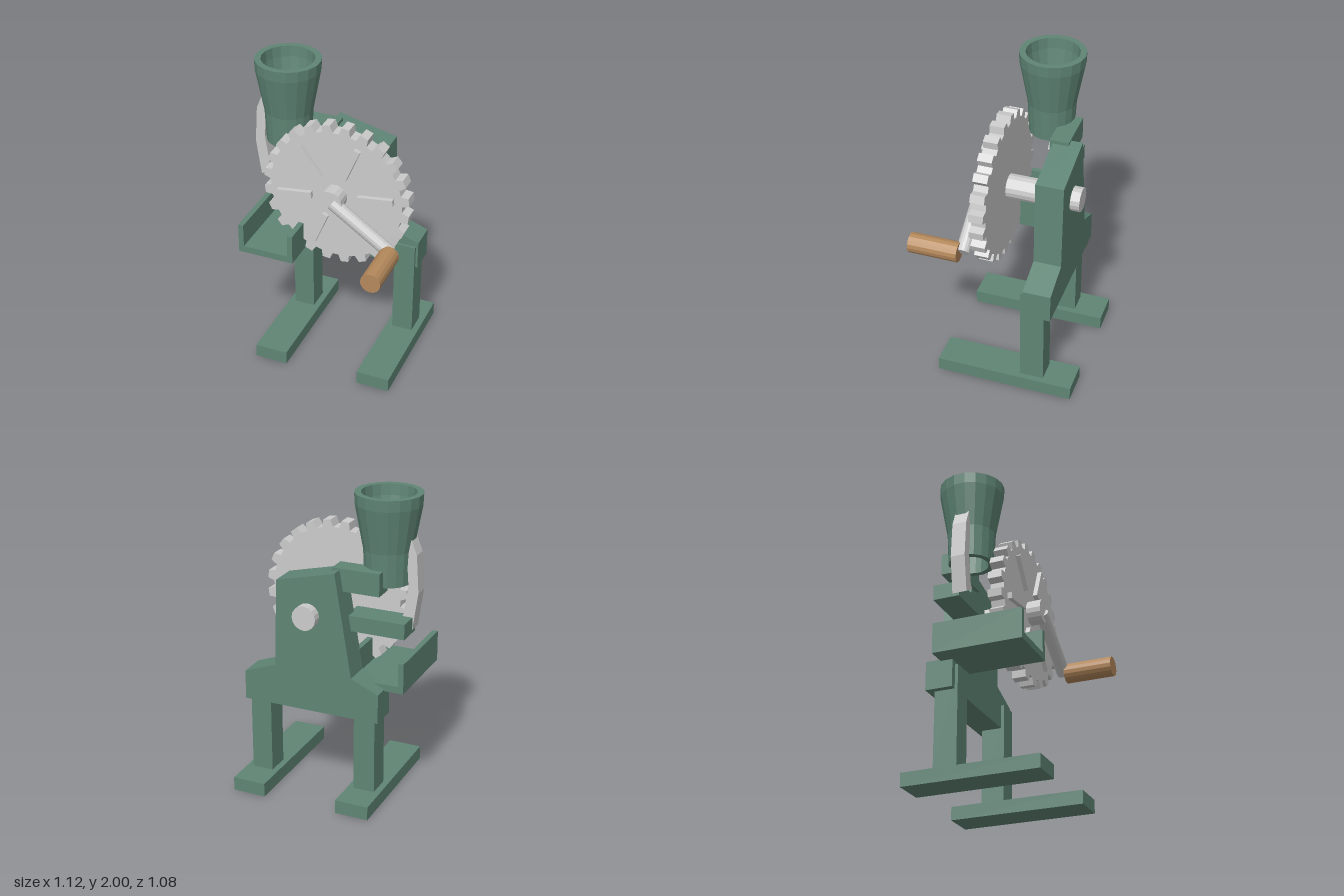
import * as THREE from 'three';

const paint = (color) => new THREE.MeshStandardMaterial({ color, flatShading: true });

export function createModel() {
  const model = new THREE.Group();
  const green = paint(0x5f8575), metal = paint(0xcccccc), wood = paint(0xb5895c);

  const add = (name, geometry, material, parent = model) => {
    const mesh = new THREE.Mesh(geometry, material);
    mesh.name = name;
    parent.add(mesh);
    return mesh;
  };
  // Box given by its limits on each axis
  const box = (name, [x0, x1], [y0, y1], [z0, z1], material, parent) => {
    const mesh = add(name, new THREE.BoxGeometry(x1 - x0, y1 - y0, z1 - z0), material, parent);
    mesh.position.set((x0 + x1) / 2, (y0 + y1) / 2, (z0 + z1) / 2);
    return mesh;
  };
  // Outline in x and y, extruded from z0 to z1
  const slab = (name, points, z0, z1, material, parent) => {
    const shape = new THREE.Shape(points.map(([x, y]) => new THREE.Vector2(x, y)));
    const geometry = new THREE.ExtrudeGeometry(shape, { depth: z1 - z0, bevelEnabled: false });
    geometry.translate(0, 0, z0);
    return add(name, geometry, material, parent);
  };
  // Round bar between two points
  const rod = (name, from, to, radius, material, sides = 16) => {
    const a = new THREE.Vector3(...from), b = new THREE.Vector3(...to);
    const mesh = add(name, new THREE.CylinderGeometry(radius, radius, a.distanceTo(b), sides), material);
    mesh.position.copy(a).lerp(b, 0.5);
    mesh.quaternion.setFromUnitVectors(new THREE.Vector3(0, 1, 0), b.sub(a).normalize());
    return mesh;
  };

  // Feet and legs
  for (const x of [-0.29, 0.43]) {
    box('foot', [x - 0.11, x + 0.11], [0, 0.09], [-0.54, 0.36], green);
    box('leg', [x - 0.07, x + 0.07], [0.09, 0.76], [-0.345, -0.19], green);
  }

  // Upright frame plate with sloping shoulders
  slab('framePlate', [
    [-0.4, 0.6], [0.515, 0.6], [0.515, 0.79], [0.3, 0.87],
    [0.28, 1.44], [-0.11, 1.535], [-0.22, 0.87], [-0.4, 0.79],
  ], -0.39, -0.21, green);

  // Brackets for the hopper and the spout
  box('upperBracket', [-0.37, -0.06], [1.4, 1.545], [-0.315, -0.19], green);
  box('lowerBracket', [-0.525, -0.14], [1.14, 1.24], [-0.29, -0.115], green);

  // Open-ended trough
  slab('trough', [
    [-0.525, 0.78], [-0.15, 0.78], [-0.15, 0.98], [-0.185, 0.98],
    [-0.185, 0.825], [-0.49, 0.825], [-0.49, 0.98], [-0.525, 0.98],
  ], -0.29, 0.3, green);

  // Hollow funnel, open at both ends
  const funnel = [
    [0.11, 1.44], [0.145, 1.44], [0.155, 1.65], [0.207, 1.93], [0.21, 2],
    [0.17, 2], [0.165, 1.93], [0.115, 1.65], [0.11, 1.44],
  ].map(([r, y]) => new THREE.Vector2(r, y));
  const hopper = add('hopper', new THREE.LatheGeometry(funnel, 18), green);
  hopper.material = green.clone();
  hopper.material.side = THREE.DoubleSide;
  hopper.position.set(-0.345, 0, -0.117);

  // Curved side spout
  slab('spout', [
    [-0.525, 1.16], [-0.44, 1.21], [-0.465, 1.25], [-0.495, 1.44],
    [-0.48, 1.64], [-0.47, 1.74], [-0.505, 1.74], [-0.545, 1.64], [-0.56, 1.4],
  ], -0.16, -0.065, metal);

  // Gear wheel with raised ribs
  const wheel = new THREE.Group();
  wheel.name = 'gearWheel';
  wheel.position.set(0.07, 1.24, 0);
  wheel.rotation.z = THREE.MathUtils.degToRad(7.5);
  model.add(wheel);
  const teeth = 24, pitch = (Math.PI * 2) / teeth, outline = [];
  for (let i = 0; i < teeth; i++) {
    for (const [offset, r] of [[-0.32, 0.44], [-0.2, 0.487], [0.2, 0.487], [0.32, 0.44]]) {
      const a = (i + offset) * pitch;
      outline.push([r * Math.cos(a), r * Math.sin(a)]);
    }
  }
  slab('gear', outline, 0.027, 0.12, metal, wheel);
  for (let i = 0; i < 6; i++) {
    const spoke = new THREE.Group();
    spoke.name = 'spoke';
    spoke.rotation.z = (i * Math.PI) / 3;
    wheel.add(spoke);
    box('rib', [0.155, 0.39], [-0.02, 0.02], [0.11, 0.15], metal, spoke);
  }

  // Axle, crank arm and grip
  rod('axle', [0.07, 1.24, -0.45], [0.07, 1.24, 0.215], 0.079, metal);
  rod('crankArm', [0.08, 1.235, 0.195], [0.47, 0.965, 0.195], 0.044, metal);
  rod('grip', [0.47, 0.96, 0.217], [0.47, 0.96, 0.54], 0.065, wood);

  return model;
}
